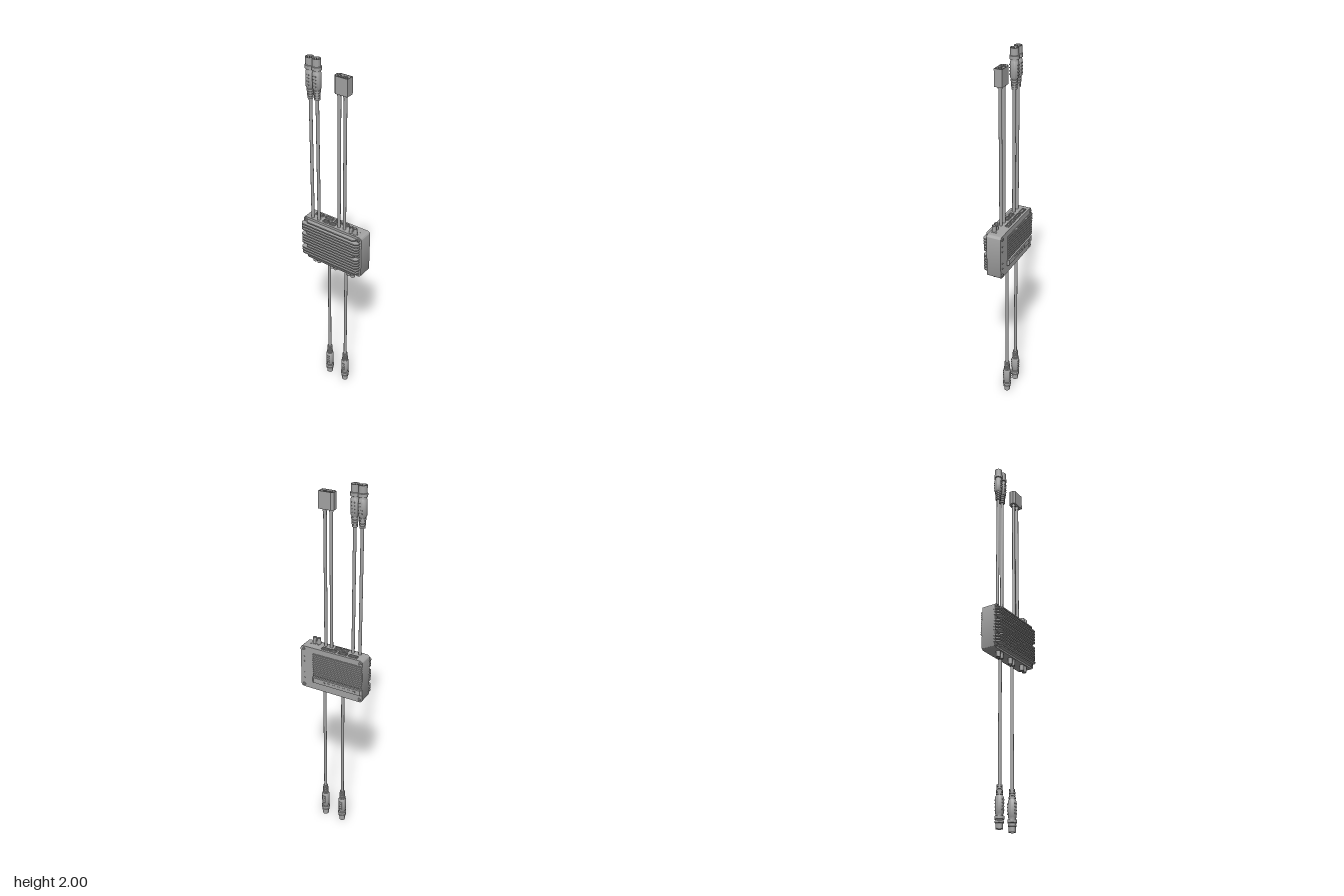
import * as THREE from 'three';
import { toCreasedNormals } from 'three/addons/utils/BufferGeometryUtils.js';

const grey = new THREE.MeshStandardMaterial({ color: 0xa4a4a4 });
grey.name = 'plain grey';

function roundedRect(x0, y0, x1, y1, r, target = new THREE.Shape()) {
  target.moveTo(x0 + r, y0);
  target.lineTo(x1 - r, y0);
  target.absarc(x1 - r, y0 + r, r, -Math.PI / 2, 0);
  target.lineTo(x1, y1 - r);
  target.absarc(x1 - r, y1 - r, r, 0, Math.PI / 2);
  target.lineTo(x0 + r, y1);
  target.absarc(x0 + r, y1 - r, r, Math.PI / 2, Math.PI);
  target.lineTo(x0, y0 + r);
  target.absarc(x0 + r, y0 + r, r, Math.PI, Math.PI * 1.5);
  return target;
}

export function createModel() {
  const model = new THREE.Group();
  model.name = 'motorController';

  const add = (name, geometry, x = 0, y = 0, z = 0, parent = model) => {
    const mesh = new THREE.Mesh(geometry, grey);
    mesh.name = name;
    mesh.position.set(x, y, z);
    parent.add(mesh);
    return mesh;
  };
  const box = (name, w, h, d, x, y, z, parent) => add(name, new THREE.BoxGeometry(w, h, d), x, y, z, parent);
  const rod = (name, r, y0, y1, x, z, parent) =>
    add(name, new THREE.CylinderGeometry(r, r, y1 - y0, 20), x, (y0 + y1) / 2, z, parent);
  const extrude = (shape, depth) => toCreasedNormals(
    new THREE.ExtrudeGeometry(shape, { depth, bevelEnabled: false, curveSegments: 6 }), 0.6);
  // Shape drawn in x and z, standing on y = 0
  const upright = (shape, height) => extrude(shape, height).rotateX(Math.PI / 2).translate(0, height, 0);
  const lathe = (points) => toCreasedNormals(
    new THREE.LatheGeometry(points.map(([r, y]) => new THREE.Vector2(r, y)), 28), 0.6);

  // Housing
  const bottom = 0.873, top = 1.121;
  add('housing', extrude(roundedRect(-0.183, bottom, 0.185, top, 0.016), 0.08), 0, 0, -0.05);

  // Front cooling fins, shortened where the screws sit
  const fins = 14;
  for (let i = 0; i < fins; i++) {
    const y = 0.886 + i * 0.0168;
    const end = i === 0 || i === fins - 1;
    const leftScrew = end || i === 4 || i === 9;
    const rightScrew = end || i === 7;
    const shape = roundedRect(leftScrew ? -0.155 : -0.185, 0.01, rightScrew ? 0.155 : 0.176,
      end ? 0.053 : 0.058, 0.018);
    add('frontFin', upright(shape, 0.007), 0, y - 0.0035, 0);
  }

  // Screws on front and back
  const screw = lathe([[0, 0], [0.009, 0], [0.009, 0.005], [0.005, 0.005], [0.004, 0.002], [0, 0.002]]);
  const screwAt = (x, y, front) => {
    const m = add(front ? 'frontScrew' : 'backScrew', screw, x, y, front ? 0.03 : -0.05);
    m.rotation.x = front ? Math.PI / 2 : -Math.PI / 2;
  };
  for (const x of [-0.167, 0.167]) for (const y of [0.889, 1.105]) {
    screwAt(x, y, true);
    screwAt(x, y, false);
  }
  screwAt(-0.168, 0.953, true);
  screwAt(-0.168, 1.037, true);
  screwAt(0.167, 1.003, true);
  for (const y of [0.93, 0.96, 1.03, 1.06]) {
    const m = rod('backRivet', 0.004, -0.002, 0.002, 0.165, -0.051);
    m.rotation.x = Math.PI / 2;
    m.position.y = y;
  }

  // Back heat sink with fine ribs, and the strip beneath it
  box('backSinkPlate', 0.29, 0.135, 0.004, -0.037, 1.022, -0.051);
  for (let i = 0; i < 12; i++) {
    box('backRib', 0.29, 0.005, 0.007, -0.037, 0.961 + i * 0.0112, -0.0545);
  }
  const strip = new THREE.Shape();
  [[-0.183, 0.045], [0.115, 0.045], [0.115, 0.052], [0.105, 0.06], [-0.173, 0.06], [-0.183, 0.052]]
    .forEach(([x, d], i) => (i ? strip.lineTo(x, -d) : strip.moveTo(x, -d)));
  add('backStrip', upright(strip, 0.03), 0, 0.918, 0);
  for (let i = 0; i < 7; i++) box('stripStud', 0.012, 0.008, 0.003, -0.14 + i * 0.03, 0.933, -0.0605);

  // Sockets in the top face
  const socket = (x, z, w, h) => {
    const g = new THREE.Group();
    g.name = 'topSocket';
    g.position.set(x, top, z);
    const frame = roundedRect(-w / 2, -h / 2, w / 2, h / 2, 0.004);
    frame.holes.push(roundedRect(-w / 2 + 0.005, -h / 2 + 0.004, w / 2 - 0.005, h / 2 - 0.004, 0.001, new THREE.Path()));
    add('socketFrame', upright(frame, 0.005), 0, 0, 0, g);
    box('socketTongue', w * 0.55, 0.003, h * 0.25, 0, 0.0015, 0, g);
    model.add(g);
  };
  [[-0.117, 0.052], [-0.055, 0.052], [0.001, 0.04], [0.048, 0.04]].forEach(([x, w]) => socket(x, -0.027, w, 0.022));
  [-0.053, -0.01].forEach((x) => socket(x, 0.007, 0.035, 0.024));
  box('terminalMark', 0.052, 0.002, 0.002, 0.122, top, -0.006);
  box('terminalMark', 0.002, 0.002, 0.034, 0.148, top, 0.004);

  // Pairs of bullet terminals: pointing up on top, down on the bottom
  const bullet = lathe([[0, 0], [0.0115, 0], [0.0115, 0.032], [0.01, 0.034], [0.007, 0.034], [0.006, 0.022], [0, 0.022]]);
  const bulletPair = (x, y, up) => {
    const g = new THREE.Group();
    g.name = 'terminalPair';
    for (const s of [-1, 1]) add('bulletTerminal', bullet, s * 0.0125, 0, 0, g);
    box('terminalBridge', 0.014, 0.012, 0.012, 0, 0.006, 0, g);
    g.position.set(x, y, 0.012);
    if (!up) g.rotation.x = Math.PI;
    model.add(g);
  };
  bulletPair(0.121, top, true);
  for (const x of [-0.111, 0, 0.111]) bulletPair(x, bottom, false);

  // Round cable connector, running from the cable (y = 0) to its tip (y = 0.205)
  const relief = [[0, 0], [0.012, 0]];
  for (let i = 0; i < 4; i++) {
    const y = i * 0.013, r = 0.0145 + i * 0.001;
    relief.push([r, y], [r, y + 0.009], [r - 0.004, y + 0.009], [r - 0.004, y + 0.013]);
  }
  const grip = [[0.017, 0.052], [0.0215, 0.06], [0.022, 0.1], [0.021, 0.135], [0.018, 0.14], [0.018, 0.146]];
  const femaleTip = [[0.0235, 0.148], [0.0235, 0.165], [0.0205, 0.167], [0.0205, 0.203], [0.0165, 0.203], [0.0165, 0.188], [0, 0.188]];
  const maleTip = [[0.0235, 0.148], [0.0235, 0.163], [0.019, 0.165], [0.019, 0.17], [0.0215, 0.171], [0.0215, 0.18],
    [0.017, 0.182], [0.017, 0.208], [0.0145, 0.208], [0.0145, 0.19], [0, 0.19]];
  const roundConnector = (name, tip, x, y, z, up) => {
    const g = new THREE.Group();
    g.name = name;
    add('connectorShell', lathe([...relief, ...grip, ...tip]), 0, 0, 0, g);
    for (let i = 0; i < 4; i++) {
      const a = Math.PI / 4 + i * Math.PI / 2;
      rod('contactPin', 0.0025, 0.186, 0.2, 0.009 * Math.cos(a), 0.009 * Math.sin(a), g);
    }
    // Raised grip bars on both faces
    for (const s of [-1, 1]) for (let i = 0; i < 4; i++) {
      box('gripBar', 0.018, 0.005, 0.004, 0, 0.072 + i * 0.016, s * 0.021, g);
    }
    g.position.set(x, y, z);
    if (!up) g.rotation.x = Math.PI;
    model.add(g);
  };
  for (const x of [-0.135, -0.095]) {
    rod('upperCable', 0.0085, top - 0.01, 1.81, x, 0.012);
    roundConnector('upperConnector', femaleTip, x, 1.797, 0.012, true);
  }
  for (const x of [-0.055, 0.056]) {
    rod('lowerCable', 0.0085, 0.2, bottom + 0.01, x, -0.022);
    roundConnector('lowerConnector', maleTip, x, 0.208, -0.022, false);
  }

  // Power cables and two-pole plug with bevelled side
  const outline = (cls) => {
    const p = new cls();
    const i = cls === THREE.Path ? 0.003 : 0;
    [[0.088 - i, -0.014 + i], [0.088 - i, 0.028 - i], [0.02, 0.028 - i], [0.008 + i, 0.018], [0.008 + i, -0.004], [0.02, -0.014 + i]]
      .forEach(([x, z], k) => (k ? p.lineTo(x, z) : p.moveTo(x, z)));
    p.closePath();
    return p;
  };
  add('plugBody', upright(outline(THREE.Shape), 0.07), 0, 1.862, 0);
  const rim = outline(THREE.Shape);
  rim.holes.push(outline(THREE.Path));
  add('plugRim', upright(rim, 0.016), 0, 1.932, 0);
  const cup = lathe([[0, 0], [0.0095, 0], [0.0095, 0.014], [0.006, 0.014], [0.006, 0.004], [0, 0.004]]);
  for (const x of [0.03, 0.064]) {
    rod('powerCable', 0.0085, top - 0.01, 1.87, x, 0.008);
    rod('cableSleeve', 0.0115, 1.85, 1.87, x, 0.008);
    add('plugContact', cup, x, 1.932, 0.008);
  }
  box('plugKey', 0.005, 0.012, 0.028, 0.047, 1.936, 0.007);

  return model;
}
